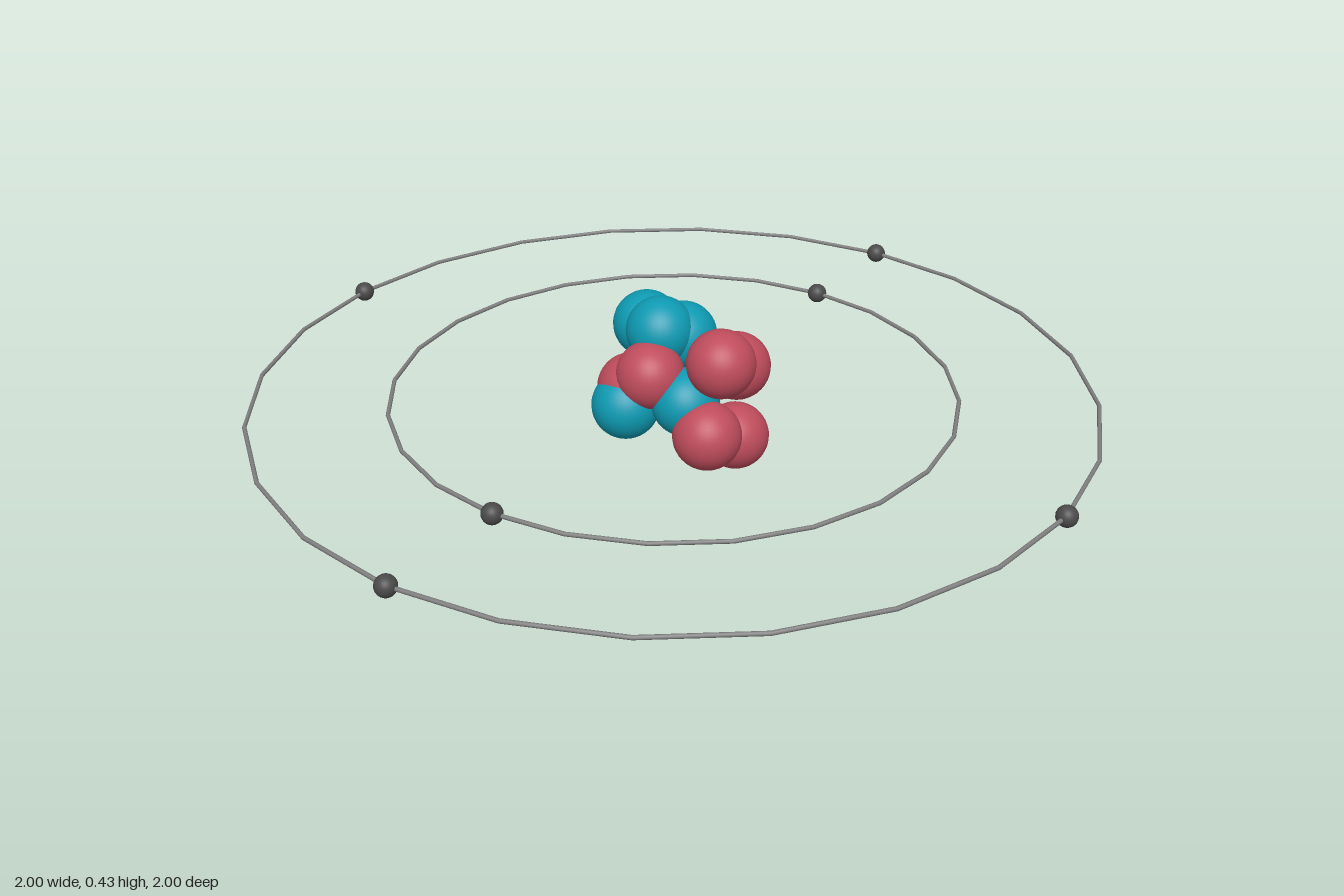
import * as THREE from 'three';

const LEVEL = 0.214; // height of the orbit plane

export function createModel() {
  const model = new THREE.Group();
  model.name = 'atom';

  const red = new THREE.MeshStandardMaterial({ color: 0xbf4c5c });
  const teal = new THREE.MeshStandardMaterial({ color: 0x0e9ab2 });
  const dark = new THREE.MeshStandardMaterial({ color: 0x4a4a4a });
  const grey = new THREE.MeshStandardMaterial({ color: 0x808080 });

  const add = (parent, name, geometry, material, [x, y, z]) => {
    const mesh = new THREE.Mesh(geometry, material);
    mesh.name = name;
    mesh.position.set(x, y, z);
    parent.add(mesh);
    return mesh;
  };

  // Nucleus: a loose cluster of equal balls
  const nucleus = new THREE.Group();
  nucleus.name = 'nucleus';
  model.add(nucleus);
  const ball = new THREE.SphereGeometry(0.08, 32, 24);
  const protons = [
    [0.13, 0.32, 0], [0.105, 0.265, -0.105], [0.13, 0.16, 0.055],
    [0.105, 0.08, -0.105], [-0.03, 0.268, 0.052], [-0.083, 0.222, 0.052],
  ];
  const neutrons = [
    [-0.132, 0.32, -0.08], [-0.055, 0.345, -0.025], [-0.028, 0.318, -0.08],
    [-0.08, 0.188, 0.08], [0.052, 0.212, 0.028],
  ];
  protons.forEach((p, i) => add(nucleus, `proton${i + 1}`, ball, red, p));
  neutrons.forEach((p, i) => add(nucleus, `neutron${i + 1}`, ball, teal, p));

  // Orbits: thin 24-sided rings, each carrying evenly spaced electrons
  const bead = new THREE.SphereGeometry(0.024, 24, 16);
  const orbits = [
    { name: 'inner', radius: 0.658, electrons: 2 },
    { name: 'outer', radius: 0.976, electrons: 4 },
  ];
  for (const { name, radius, electrons } of orbits) {
    const shell = new THREE.Group();
    shell.name = `${name}Shell`;
    model.add(shell);
    const ring = new THREE.TorusGeometry(radius, 0.005, 8, 24).rotateX(Math.PI / 2);
    add(shell, `${name}Orbit`, ring, grey, [0, LEVEL, 0]);
    for (let i = 0; i < electrons; i++) {
      const a = (i / electrons) * Math.PI * 2;
      add(shell, `${name}Electron${i + 1}`, bead, dark,
        [radius * Math.sin(a), LEVEL, radius * Math.cos(a)]);
    }
  }
  return model;
}
